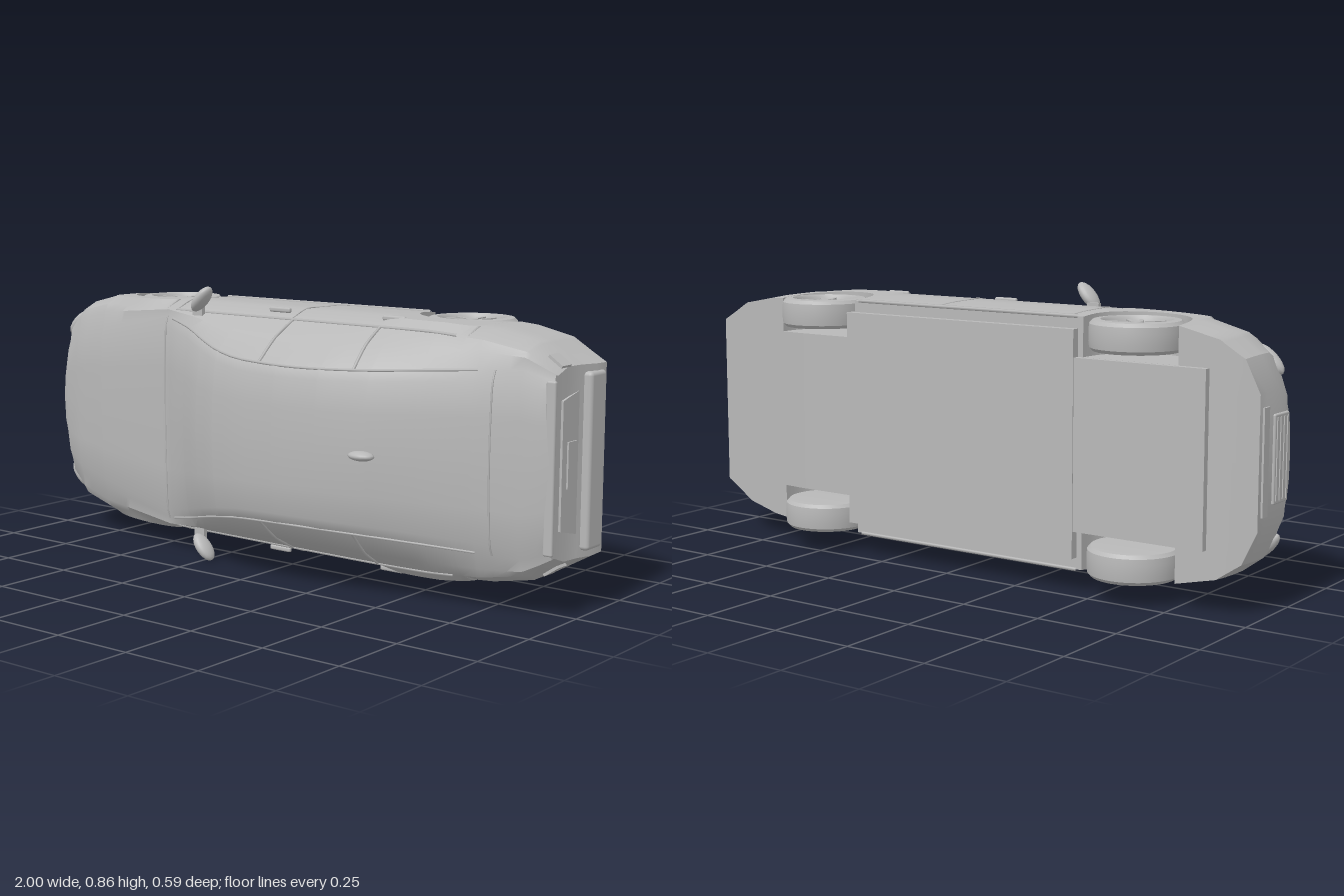
import * as THREE from 'three';
import { toCreasedNormals } from 'three/addons/utils/BufferGeometryUtils.js';
import { RoundedBoxGeometry } from 'three/addons/geometries/RoundedBoxGeometry.js';

// The car lies on its side: x runs nose to tail, y across, z towards the roof.
const grey = new THREE.MeshStandardMaterial({ color: 0xb8b8b8 });
grey.name = 'plain grey';

const AXLES = [-0.6, 0.54], WHEEL_Z = -0.163, ARCH = 0.152;
const { clamp, smoothstep } = THREE.MathUtils;

// x, half width, belt height, rail height, rail width, top
const ROWS = [
  [-0.99, 0.19, -0.03, -0.005, 0.14, 0.01],
  [-0.95, 0.285, -0.01, 0.025, 0.2, 0.035],
  [-0.88, 0.335, 0.015, 0.045, 0.24, 0.052],
  [-0.75, 0.366, 0.035, 0.066, 0.27, 0.075],
  [-0.43, 0.372, 0.08, 0.1, 0.325, 0.108],
  [-0.3, 0.372, 0.088, 0.145, 0.3, 0.172],
  [-0.2, 0.372, 0.09, 0.195, 0.275, 0.226],
  [-0.1, 0.372, 0.092, 0.24, 0.253, 0.264],
  [0, 0.372, 0.095, 0.262, 0.238, 0.282],
  [0.15, 0.372, 0.097, 0.27, 0.232, 0.289],
  [0.3, 0.372, 0.1, 0.258, 0.232, 0.278],
  [0.45, 0.372, 0.1, 0.226, 0.237, 0.248],
  [0.6, 0.37, 0.1, 0.18, 0.246, 0.2],
  [0.75, 0.358, 0.098, 0.138, 0.255, 0.155],
  [0.88, 0.333, 0.09, 0.115, 0.262, 0.128],
  [0.99, 0.27, 0.07, 0.094, 0.235, 0.107],
];

function rowAt(x) {
  let i = 0;
  while (i < ROWS.length - 2 && x > ROWS[i + 1][0]) i++;
  const a = ROWS[i], b = ROWS[i + 1];
  const t = clamp((x - a[0]) / (b[0] - a[0]), 0, 1);
  return a.map((v, k) => v + (b[k] - v) * t);
}

// Half cross-section from floor centre, round the arch and side, to roof centre
function section(x) {
  const [, W, beltZ, railZ, railW, top] = rowAt(x);
  const floor = -0.2 + 0.025 * smoothstep(-x, 0.9, 1) + 0.05 * smoothstep(x, 0.6, 1);
  let edge = floor;
  for (const c of AXLES) {
    const d = Math.abs(x - c);
    if (d <= ARCH) edge = Math.max(edge, WHEEL_Z + Math.sqrt(ARCH * ARCH - d * d));
  }
  const beltW = W * 0.93, inner = Math.min(0.25, W * 0.8);
  const pts = [[0, floor], [inner, floor], [inner, edge]];
  for (const t of [0, 0.25, 0.5, 0.75]) {
    const z = edge + (beltZ - edge) * t;
    pts.push([W * (1 - Math.min(0, z + 0.06) ** 2), z]);
  }
  pts.push([beltW, beltZ]);
  pts.push([(beltW + railW) / 2 + 0.01, (beltZ + railZ) / 2]);
  pts.push([railW, railZ - 0.008], [railW - 0.03, railZ + (top - railZ) * 0.25]);
  pts.push([railW * 0.5, railZ + (top - railZ) * 0.78], [0, top]);
  // The tail steps forward above the bumper
  const tail = 0.025 * smoothstep(x, 0.9, 0.99);
  return pts.map(([y, z]) => new THREE.Vector3(x - tail * smoothstep(z, -0.06, -0.03), y, z));
}

function bodyGeometry() {
  const xs = ROWS.map((r) => r[0]);
  for (let i = 1; i < 40; i++) xs.push(-0.99 + i * 0.0495);
  for (const c of AXLES) {
    xs.push(c - ARCH - 0.001, c + ARCH + 0.001);
    for (let k = 0; k <= 16; k++) xs.push(c - ARCH * 0.99999 * Math.cos((k * Math.PI) / 16));
  }
  xs.sort((a, b) => a - b);
  const pos = [], idx = [], N = 24, last = (xs.length - 1) * N;
  for (const x of xs) {
    const half = section(x);
    for (let j = 0; j < N; j++) {
      const p = half[j <= 12 ? j : N - j];
      pos.push(p.x, j <= 12 ? p.y : -p.y, p.z);
    }
  }
  for (let i = 0; i < last; i += N) {
    for (let j = 0; j < N; j++) {
      const a = i + j, b = i + ((j + 1) % N);
      idx.push(a, b, a + N, b, b + N, a + N);
    }
  }
  // Close nose and tail with level strips
  for (let j = 0; j < 12; j++) {
    const r = j, r2 = j + 1, l = (N - j) % N, l2 = N - j - 1;
    idx.push(last + r, last + r2, last + l2, last + r, last + l2, last + l);
    idx.push(r, l2, r2, r, l, l2);
  }
  const g = new THREE.BufferGeometry();
  g.setAttribute('position', new THREE.Float32BufferAttribute(pos, 3));
  g.setIndex(idx);
  return toCreasedNormals(g, 0.5);
}

function add(parent, name, geometry, x = 0, y = 0, z = 0) {
  const m = new THREE.Mesh(geometry, grey);
  m.name = name;
  m.position.set(x, y, z);
  parent.add(m);
  return m;
}
const box = (x, y, z) => new THREE.BoxGeometry(x, y, z);
const tube = (pts, r) => new THREE.TubeGeometry(new THREE.CatmullRomCurve3(pts), 24, r, 5);

function makeWheel() {
  const w = new THREE.Group();
  w.name = 'wheel';
  const tyre = [[0, -0.045], [0.1, -0.045], [0.124, -0.043], [0.133, -0.033], [0.135, -0.015], [0.135, 0.015],
    [0.133, 0.033], [0.124, 0.043], [0.102, 0.045], [0.096, 0.038], [0.092, 0.012], [0, 0.012]];
  const lathe = new THREE.LatheGeometry(tyre.map(([r, y]) => new THREE.Vector2(r, y)), 40);
  add(w, 'tyre', toCreasedNormals(lathe, 0.6));
  add(w, 'hub', new THREE.CylinderGeometry(0.018, 0.024, 0.028, 20), 0, 0.024, 0);
  for (let i = 0; i < 5; i++) {
    const spoke = new THREE.Group();
    spoke.name = 'spokePair';
    spoke.rotation.y = (i * Math.PI * 2) / 5 + 0.3;
    for (const s of [-1, 1]) {
      add(spoke, 'spoke', box(0.082, 0.018, 0.011), 0.055, 0.026, s * 0.015).rotation.y = -s * 0.12;
    }
    w.add(spoke);
  }
  return w;
}

export function createModel() {
  const car = new THREE.Group();
  car.name = 'car';
  car.position.y = 0.43;
  add(car, 'body', bodyGeometry());

  // Underbody
  add(car, 'floorPan', box(0.83, 0.66, 0.03), -0.015, 0, -0.21);
  add(car, 'frontFloor', box(0.42, 0.5, 0.02), -0.64, 0, -0.212);

  // Nose: grille, bars, lower intake
  add(car, 'grilleFrame', new RoundedBoxGeometry(0.012, 0.25, 0.085, 2, 0.005), -0.991, 0, -0.055);
  for (let i = 0; i < 4; i++) add(car, 'grilleBar', box(0.008, 0.23, 0.007), -0.996, 0, -0.085 + i * 0.02);
  add(car, 'lowerIntake', box(0.012, 0.3, 0.03), -0.99, 0, -0.145);

  // Tail: boot lip, panel, number plate, bumper
  add(car, 'bootLip', new RoundedBoxGeometry(0.03, 0.48, 0.014, 2, 0.006), 0.964, 0, 0.1);
  const corners = [[-0.2, -0.035], [0.2, -0.035], [0.18, 0.05], [-0.18, 0.05]];
  const panel = new THREE.Shape(corners.map((p) => new THREE.Vector2(...p)));
  const panelGeo = new THREE.ExtrudeGeometry(panel, { depth: 0.008, bevelEnabled: false });
  panelGeo.rotateX(Math.PI / 2).rotateZ(Math.PI / 2);
  add(car, 'bootPanel', panelGeo, 0.964);
  add(car, 'numberPlate', box(0.006, 0.13, 0.05), 0.974, 0, 0);
  add(car, 'rearBumper', new RoundedBoxGeometry(0.04, 0.5, 0.085, 3, 0.012), 0.98, 0, -0.095);

  // Roof aerial
  const fin = add(car, 'aerialFin', new THREE.SphereGeometry(1, 16, 10), 0.45, 0, 0.257);
  fin.scale.set(0.042, 0.014, 0.028);

  // Screen edges across the car
  for (const x of [-0.43, 0.8]) {
    const half = section(x).slice(9);
    const mirrored = half.slice(0, -1).reverse().map((p) => new THREE.Vector3(p.x, -p.y, p.z));
    add(car, x < 0 ? 'windscreenSeal' : 'rearWindowSeal', tube([...half, ...mirrored], 0.003));
  }

  for (const s of [-1, 1]) {
    const at = (x, j) => section(x)[j].multiply(new THREE.Vector3(1, s, 1));
    const along = (x0, x1, j) => Array.from({ length: 13 }, (_, i) => at(x0 + ((x1 - x0) * i) / 12, j));

    // Window trims, pillars and door seams
    add(car, 'beltTrim', tube(along(-0.4, 0.66, 7), 0.005));
    add(car, 'roofRail', tube(along(-0.4, 0.75, 9), 0.004));
    for (const x of [0.08, 0.4]) add(car, 'windowPillar', tube([7, 8, 9].map((j) => at(x, j)), 0.005));
    for (const x of [-0.4, 0.07]) add(car, 'doorSeam', tube([3, 4, 5, 6, 7].map((j) => at(x, j)), 0.002));
    add(car, 'sill', tube(along(-0.43, 0.37, 3), 0.006));

    // Door handles
    for (const x of [0, 0.42]) {
      add(car, 'doorHandle', new RoundedBoxGeometry(0.08, 0.016, 0.014, 2, 0.006), x, s * 0.368, 0.058);
    }

    // Lamps
    const head = add(car, 'headlamp', new THREE.SphereGeometry(1, 18, 10), -0.935, s * 0.262, -0.015);
    head.scale.set(0.055, 0.022, 0.022);
    head.rotation.z = s * 0.75;
    const rear = add(car, 'tailLamp', box(0.05, 0.008, 0.05), 0.955, s * 0.288, 0.045);
    rear.rotation.z = -s * 0.6;

    // Door mirrors
    const mirror = add(car, 'mirror', new THREE.SphereGeometry(1, 18, 12), -0.257, s * 0.39, 0.126);
    mirror.scale.set(0.05, 0.02, 0.03);
    mirror.rotation.z = s * 0.85;
    add(car, 'mirrorStalk', box(0.04, 0.04, 0.014), -0.29, s * 0.352, 0.103);

    // Wheels
    for (const x of AXLES) {
      const wheel = makeWheel();
      wheel.position.set(x, s * 0.32, WHEEL_Z);
      if (s < 0) wheel.rotation.x = Math.PI;
      car.add(wheel);
    }
  }

  const model = new THREE.Group();
  model.name = 'model';
  model.add(car);
  return model;
}
